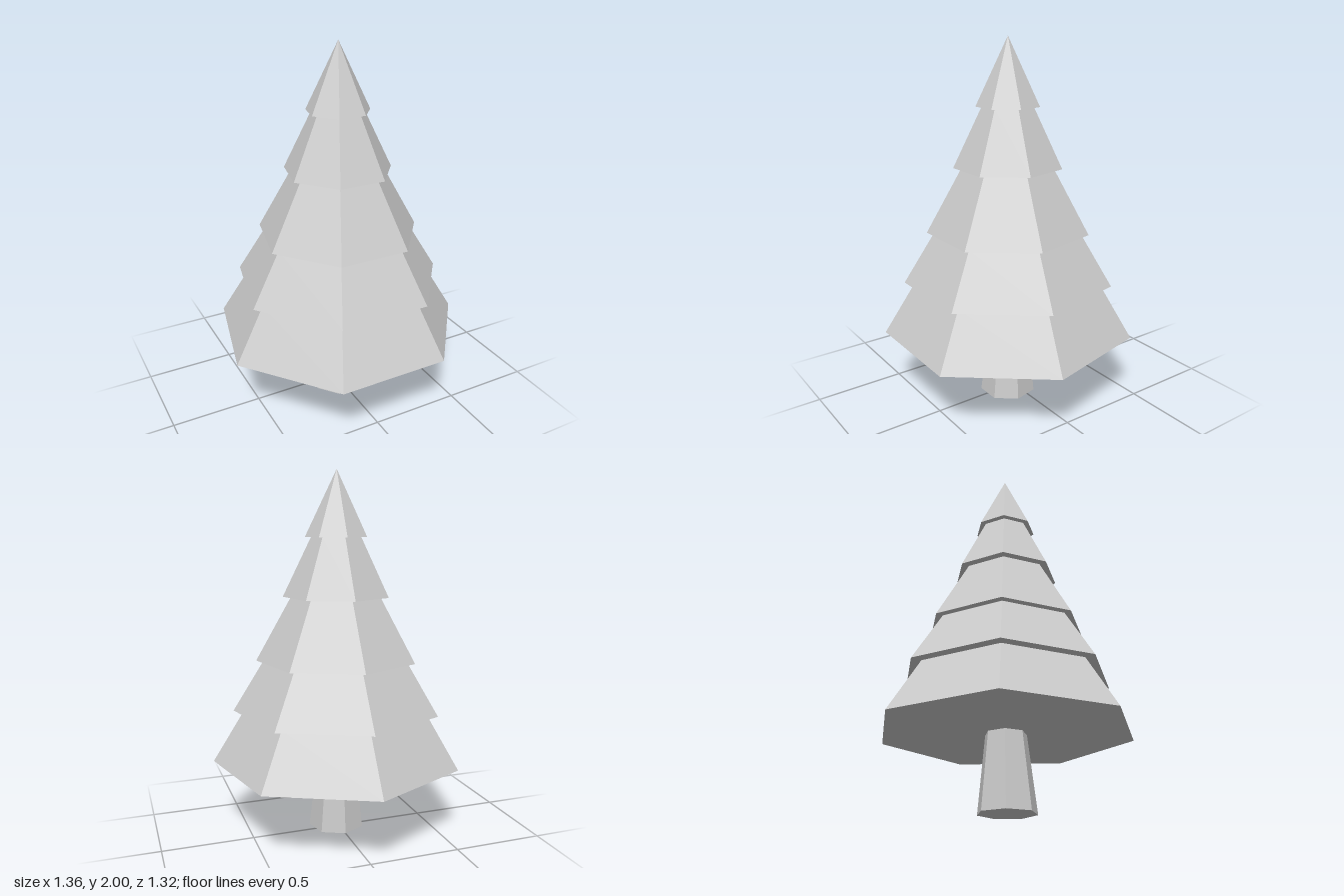
import * as THREE from 'three';

const SIDES = 7;
const AXIS_Z = 0.033; // the corner points to the back, so the axis sits a little forward

export function createModel() {
  const model = new THREE.Group();
  model.name = 'pineTree';
  const material = new THREE.MeshStandardMaterial({ color: 0xcccccc, flatShading: true });

  // Seven-sided solid from a profile of [radius, height], one corner facing -z
  const addTurned = (name, profile) => {
    const points = profile.map(([r, y]) => new THREE.Vector2(r, y));
    const mesh = new THREE.Mesh(new THREE.LatheGeometry(points, SIDES, Math.PI), material);
    mesh.name = name;
    mesh.position.z = AXIS_Z;
    model.add(mesh);
    return mesh;
  };

  // Trunk, tapered, with its foot slightly forward
  const trunk = addTurned('trunk', [[0, 0], [0.157, 0], [0.112, 0.405]]);
  const pos = trunk.geometry.attributes.position;
  for (let i = 0; i < pos.count; i++) {
    if (pos.getY(i) < 0.1) pos.setZ(i, pos.getZ(i) + 0.007);
  }
  trunk.geometry.computeVertexNormals();

  // Foliage tiers: [bottom height, bottom radius, top radius]
  const tiers = [
    [0.405, 0.695, 0.518],
    [0.695, 0.577, 0.405],
    [0.975, 0.446, 0.25],
    [1.325, 0.295, 0.139],
    [1.645, 0.172, 0],
  ];
  tiers.forEach(([y, bottom, top], i) => {
    const yTop = i + 1 < tiers.length ? tiers[i + 1][0] : 2;
    addTurned(`foliageTier${i + 1}`, [[0, y], [bottom, y], [top, yTop]]);
  });

  return model;
}
